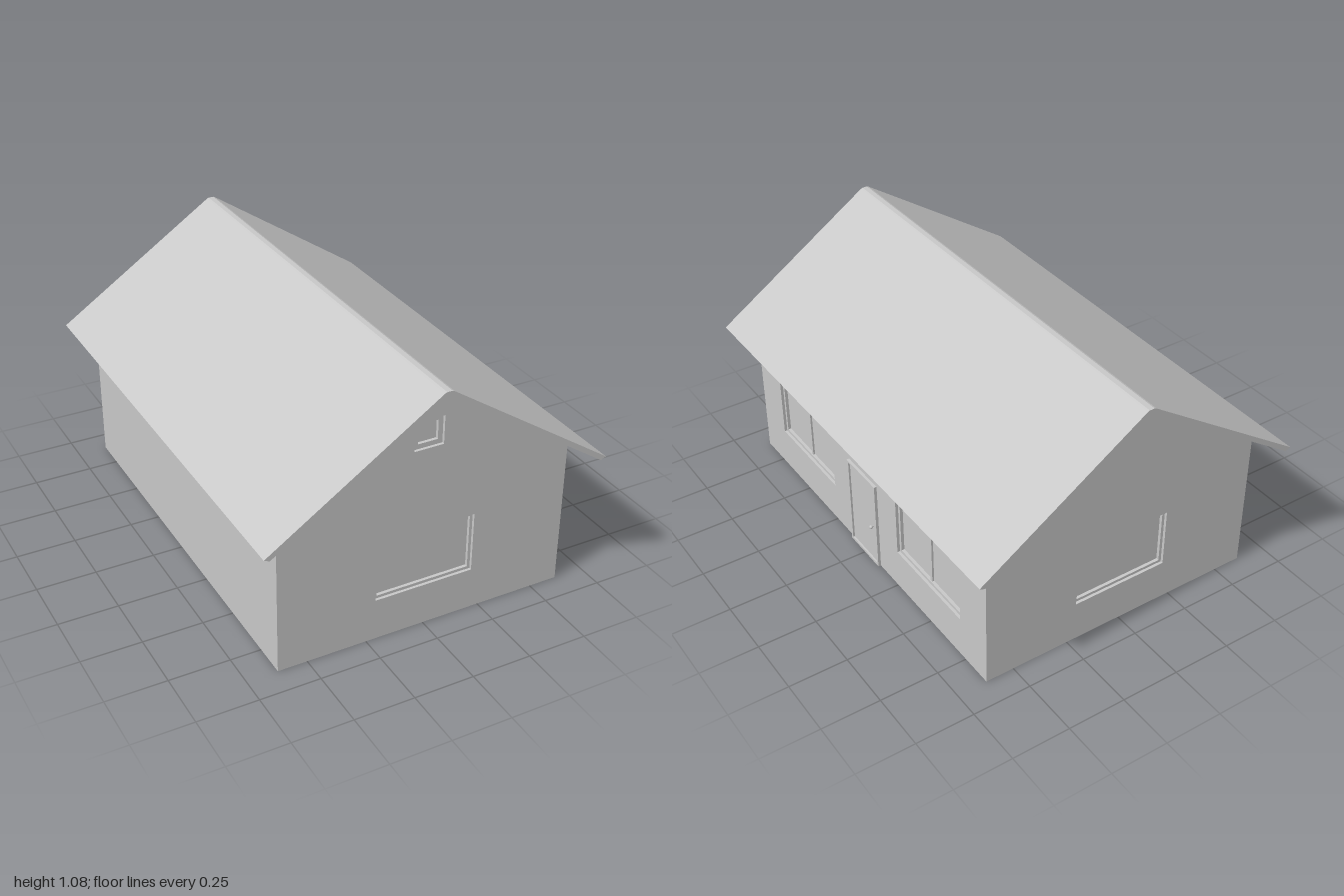
import * as THREE from 'three';

const grey = new THREE.MeshStandardMaterial({ color: 0xc8c8c8 });
grey.name = 'plain grey';

const HALF_W = 0.622, HALF_D = 0.89, EAVE = 0.645, PEAK = 1.06, WALL = 0.035;

function add(parent, name, geometry, x = 0, y = 0, z = 0) {
  const mesh = new THREE.Mesh(geometry, grey);
  mesh.name = name;
  mesh.position.set(x, y, z);
  parent.add(mesh);
  return mesh;
}

function outline(points, Type = THREE.Shape) {
  return new Type(points.map(([x, y]) => new THREE.Vector2(x, y)));
}

function rect(cx, cy, w, h, Type) {
  const a = w / 2, b = h / 2;
  return outline([[cx - a, cy - b], [cx + a, cy - b], [cx + a, cy + b], [cx - a, cy + b]], Type);
}

// Extrusion whose outer face lies on z = 0 and which goes inwards
function slab(shape, depth) {
  return new THREE.ExtrudeGeometry(shape, { depth, bevelEnabled: false }).translate(0, 0, -depth);
}

// Recessed window: frame, pane and optional centre bar
function addWindow(parent, name, { x, y, w, h, border, bar }) {
  const group = new THREE.Group();
  group.name = name;
  group.position.set(x, y, 0);
  const frame = rect(0, 0, w, h);
  frame.holes.push(rect(0, 0, w - 2 * border, h - 2 * border, THREE.Path));
  add(group, 'windowFrame', slab(frame, 0.02), 0, 0, -0.012);
  add(group, 'windowPane', new THREE.BoxGeometry(w, h, 0.006), 0, 0, -0.028);
  if (bar) add(group, 'windowBar', new THREE.BoxGeometry(0.012, h - 2 * border, 0.008), 0, 0, -0.021);
  parent.add(group);
}

// A wall with its windows, built facing +z and then turned into place
function addWall(house, name, points, angle, distance, windows) {
  const wall = new THREE.Group();
  wall.name = name;
  const shape = outline(points);
  for (const o of windows) {
    shape.holes.push(rect(o.x, o.y, o.w, o.h, THREE.Path));
    addWindow(wall, 'window', o);
  }
  add(wall, 'wallPanel', slab(shape, WALL));
  wall.rotation.y = angle;
  wall.position.set(Math.sin(angle) * distance, 0, Math.cos(angle) * distance);
  house.add(wall);
  return wall;
}

// Door with a raised surround, set-back leaf and round knob
function addDoor(wall) {
  const door = new THREE.Group();
  door.name = 'door';
  const frame = rect(0, 0.207, 0.22, 0.414);
  frame.holes.push(rect(0, 0.2075, 0.196, 0.393, THREE.Path));
  add(door, 'doorFrame', slab(frame, 0.014), 0, 0, 0.012);
  add(door, 'doorLeaf', new THREE.BoxGeometry(0.196, 0.393, 0.01), 0, 0.2075, -0.001);
  const stem = new THREE.CylinderGeometry(0.004, 0.004, 0.012, 12).rotateX(Math.PI / 2);
  add(door, 'knobStem', stem, 0.071, 0.186, 0.009);
  add(door, 'doorKnob', new THREE.SphereGeometry(0.008, 16, 12), 0.071, 0.186, 0.014);
  wall.add(door);
}

export function createModel() {
  const house = new THREE.Group();
  house.name = 'house';

  // Gable walls
  const gable = [[-HALF_W, 0], [HALF_W, 0], [HALF_W, EAVE], [0, PEAK], [-HALF_W, EAVE]];
  const picture = { x: 0, y: 0.307, w: 0.424, h: 0.258, border: 0.012 };
  const attic = { x: -0.003, y: 0.849, w: 0.124, h: 0.12, border: 0.02 };
  addWall(house, 'frontWall', gable, 0, HALF_D, [picture, attic]);
  addWall(house, 'backWall', gable, Math.PI, HALF_D, [picture]);

  // Long walls between the gables
  const d = HALF_D - WALL;
  const side = [[-d, 0], [d, 0], [d, EAVE], [-d, EAVE]];
  const sideWindows = [-1, 1].map((s) => (
    { x: s * 0.483, y: 0.309, w: 0.458, h: 0.262, border: 0.013, bar: true }));
  addDoor(addWall(house, 'doorWall', side, Math.PI / 2, HALF_W, sideWindows));
  addWall(house, 'plainWall', side, -Math.PI / 2, HALF_W, []);

  // Floor
  add(house, 'floor', new THREE.BoxGeometry(2 * (HALF_W - WALL), 0.02, 2 * d), 0, 0.01, 0);

  // Roof: one folded slab with a softened ridge
  const half = [[0.699, 0.594], [0.722, 0.604], [0.02, 1.072], [0.011, 1.076]];
  const mirrored = half.map(([x, y]) => [-x, y]).reverse();
  const roof = outline([[0, PEAK], ...half, ...mirrored]);
  add(house, 'roof', slab(roof, 2), 0, 0, 1);

  return house;
}
